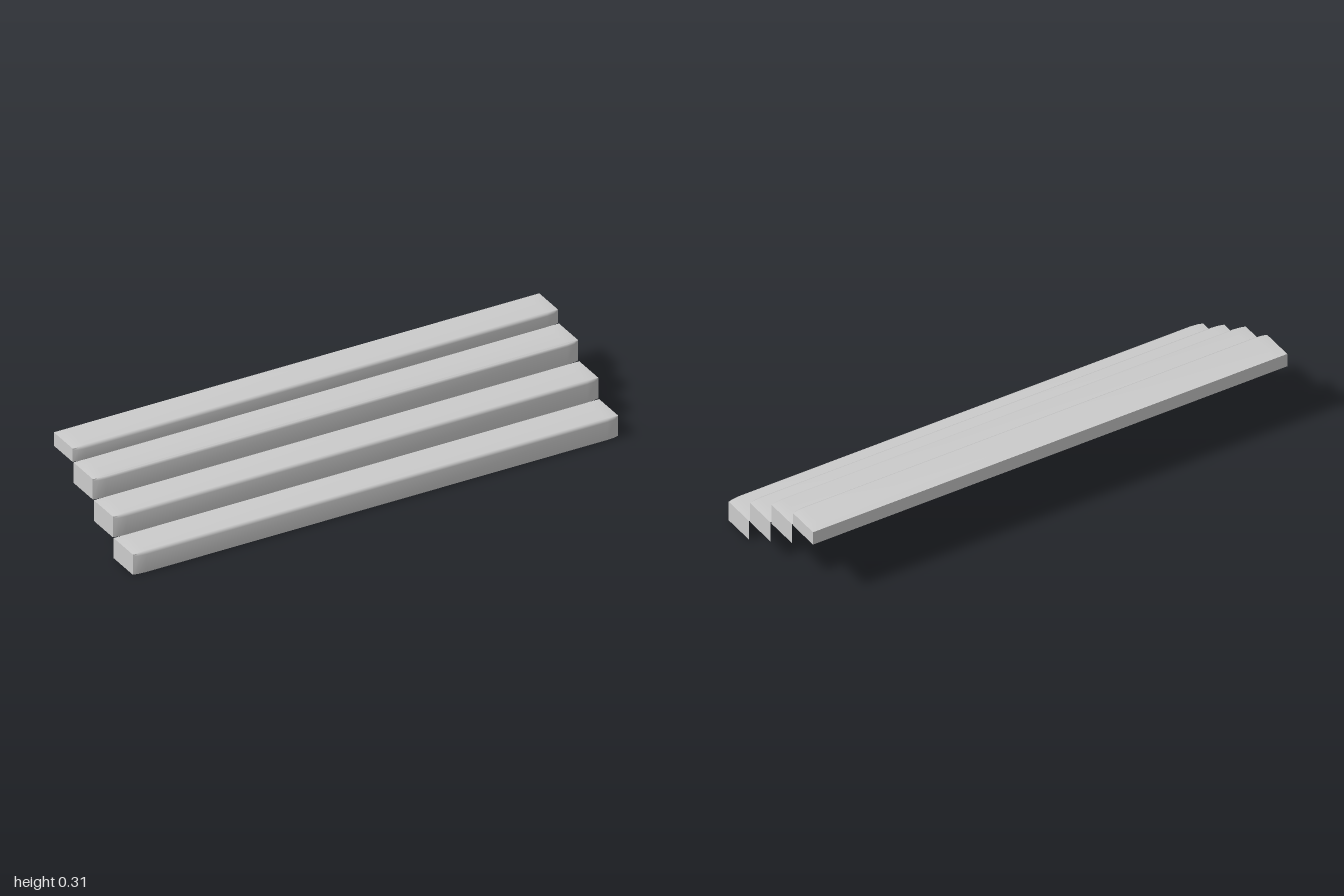
import * as THREE from 'three';
import { toCreasedNormals } from 'three/addons/utils/BufferGeometryUtils.js';

const material = new THREE.MeshStandardMaterial({ color: 0xcccccc, side: THREE.DoubleSide });

// Each step: front of the nose, back edge, bottom, top
const STEPS = [
  { front: 0.289, back: 0.141, bottom: 0, top: 0.087 },
  { front: 0.146, back: -0.001, bottom: 0.083, top: 0.172 },
  { front: 0.002, back: -0.147, bottom: 0.167, top: 0.255 },
  { front: -0.142, back: -0.288, bottom: 0.25, top: 0.309 },
];

// Cross-sections along x: position and how far the rounded nose swells (0 at the ends)
const SECTIONS = [[-1, 0], [-0.98, 0.65], [-0.95, 1], [0, 1], [0.95, 1], [0.98, 0.65], [1, 0]];

// [z, y] profile from the foot of the riser, over the nose, to the back of the tread
function profile({ front, back, bottom, top }, swell) {
  const full = [
    [front - 0.004, bottom],
    [front, top - 0.012],
    [front - 0.003, top - 0.003],
    [front - 0.010, top],
    [back + 0.045, top - 0.0005],
    [back, top - 0.004],
  ];
  const edge = front - 0.011;
  return full.map(([z, y]) => [
    THREE.MathUtils.lerp(Math.min(z, edge), z, swell),
    THREE.MathUtils.lerp(Math.min(y, top - 0.004), y, swell),
  ]);
}

function meshFrom(name, positions, indices) {
  const geometry = new THREE.BufferGeometry();
  geometry.setAttribute('position', new THREE.Float32BufferAttribute(positions, 3));
  geometry.setIndex(indices);
  const mesh = new THREE.Mesh(toCreasedNormals(geometry, Math.PI / 3), material);
  mesh.name = name;
  return mesh;
}

// Riser, rounded nose and tread in one lofted skin
function stepSkin(step) {
  const positions = [], indices = [];
  const count = profile(step, 1).length;
  SECTIONS.forEach(([x, swell], i) => {
    profile(step, swell).forEach(([z, y], j) => {
      positions.push(x, y, z);
      if (i === SECTIONS.length - 1 || j === count - 1) return;
      const a = i * count + j, b = a + count;
      indices.push(a, b, b + 1, a, b + 1, a + 1);
    });
  });
  return meshFrom('riserAndTread', positions, indices);
}

// Flat end of a step, a fan from its lower back corner
function endCap(step, side) {
  const positions = [side, step.bottom, step.back], indices = [];
  profile(step, 0).forEach(([z, y], j) => {
    positions.push(side, y, z);
    if (j > 0) indices.push(0, ...(side > 0 ? [j + 1, j] : [j, j + 1]));
  });
  return meshFrom(side > 0 ? 'leftEnd' : 'rightEnd', positions, indices);
}

export function createModel() {
  const stairs = new THREE.Group();
  stairs.name = 'stairs';
  STEPS.forEach((step, i) => {
    const group = new THREE.Group();
    group.name = `step${i + 1}`;
    group.add(stepSkin(step), endCap(step, 1), endCap(step, -1));
    stairs.add(group);
  });

  // Only the top step is closed at the back; the underside stays open
  const { back, bottom, top } = STEPS[STEPS.length - 1];
  const height = top - 0.004 - bottom;
  const panel = new THREE.Mesh(new THREE.PlaneGeometry(2, height), material);
  panel.name = 'backPanel';
  panel.rotation.y = Math.PI;
  panel.position.set(0, bottom + height / 2, back);
  stairs.add(panel);
  return stairs;
}
